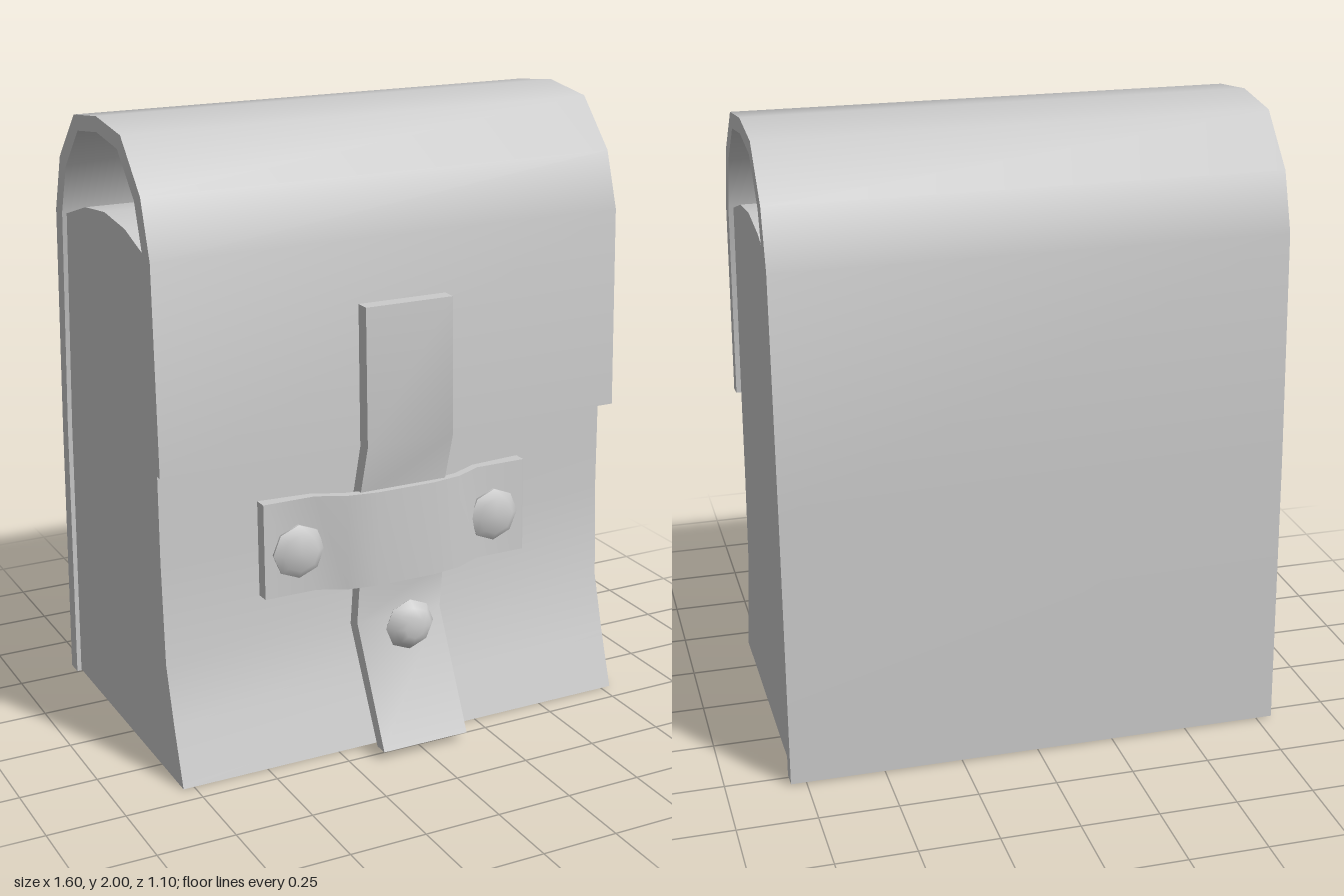
import * as THREE from 'three';
import { toCreasedNormals } from 'three/addons/utils/BufferGeometryUtils.js';

const material = new THREE.MeshStandardMaterial({ color: 0xcccccc, side: THREE.DoubleSide });

function mesh(name, geometry, crease = 0.75) {
  const m = new THREE.Mesh(toCreasedNormals(geometry, crease), material);
  m.name = name;
  return m;
}

function extrude(points, depth) {
  const shape = new THREE.Shape(points.map(([a, b]) => new THREE.Vector2(a, b)));
  return new THREE.ExtrudeGeometry(shape, { depth, bevelEnabled: false }).translate(0, 0, -depth / 2);
}

// Side profile given as [z, y], swept across the width
const acrossX = (points, width) => extrude(points, width).rotateY(-Math.PI / 2);

// Low-poly domed stud facing +z, profile given as [radius, z]
function stud(name, profile, x, y, z) {
  const g = new THREE.LatheGeometry(profile.map(([r, h]) => new THREE.Vector2(r, h)), 8);
  g.rotateX(Math.PI / 2);
  const m = mesh(name, g, 0.9);
  m.position.set(x, y, z);
  return m;
}

export function createModel() {
  const bag = new THREE.Group();
  bag.name = 'satchel';

  // Pouch with a flared foot and a gently domed top
  bag.add(mesh('pouch', acrossX([
    [-0.53, 0.01], [0.43, 0], [0.37, 0.18], [0.315, 0.37], [0.295, 0.7], [0.29, 1.0],
    [0.262, 1.635], [0.09, 1.69], [-0.08, 1.708], [-0.25, 1.69], [-0.432, 1.635], [-0.475, 0.9],
  ], 1.57)));

  // One sheet forming the back panel, arched top and front flap
  bag.add(mesh('flap', acrossX([
    [-0.55, 0.005], [-0.525, 0.9], [-0.49, 1.64], [-0.43, 1.82], [-0.28, 1.975], [-0.08, 2],
    [0.12, 1.975], [0.265, 1.82], [0.325, 1.64], [0.35, 0.99], [0.297, 0.995], [0.27, 1.64],
    [0.215, 1.8], [0.09, 1.93], [-0.08, 1.952], [-0.25, 1.93], [-0.375, 1.8], [-0.432, 1.64],
    [-0.475, 0.9], [-0.495, 0.005],
  ], 1.6)));

  // Closing strap, kinked where it passes through the keeper
  bag.add(mesh('strap', acrossX([
    [0.415, 1.45], [0.366, 1.45], [0.38, 1.0], [0.33, 0.82], [0.335, 0.55], [0.315, 0.38],
    [0.503, 0.03], [0.55, 0.03], [0.362, 0.4], [0.38, 0.56], [0.376, 0.82], [0.43, 1.01],
  ], 0.3)));

  // Keeper band bulging over the strap, plan given as [x, -z]
  const outer = [[-0.465, 0.35], [-0.29, 0.35], [-0.2, 0.395], [-0.1, 0.412], [0.1, 0.412], [0.2, 0.395], [0.29, 0.35], [0.465, 0.35]];
  const inner = outer.map(([x, z]) => [x, z - (Math.abs(x) > 0.4 ? 0.045 : 0.03)]).reverse();
  const band = extrude([...outer, ...inner].map(([x, z]) => [x, -z]), 0.31).rotateX(-Math.PI / 2);
  const keeper = mesh('strapKeeper', band);
  keeper.position.y = 0.685;
  keeper.rotation.x = -0.025;
  bag.add(keeper);

  // Rivets at both ends of the keeper
  for (const side of [-1, 1]) {
    bag.add(stud(side > 0 ? 'leftRivet' : 'rightRivet',
      [[0, -0.03], [0.085, -0.03], [0.088, 0.005], [0.062, 0.022], [0, 0.024]], side * 0.35, 0.68, 0.352));
  }

  // Button with a short stem on the strap
  bag.add(stud('button', [
    [0, -0.11], [0.03, -0.11], [0.03, -0.04], [0.065, -0.028], [0.085, 0], [0.065, 0.027], [0.035, 0.038], [0, 0.04],
  ], 0, 0.395, 0.435));

  return bag;
}
